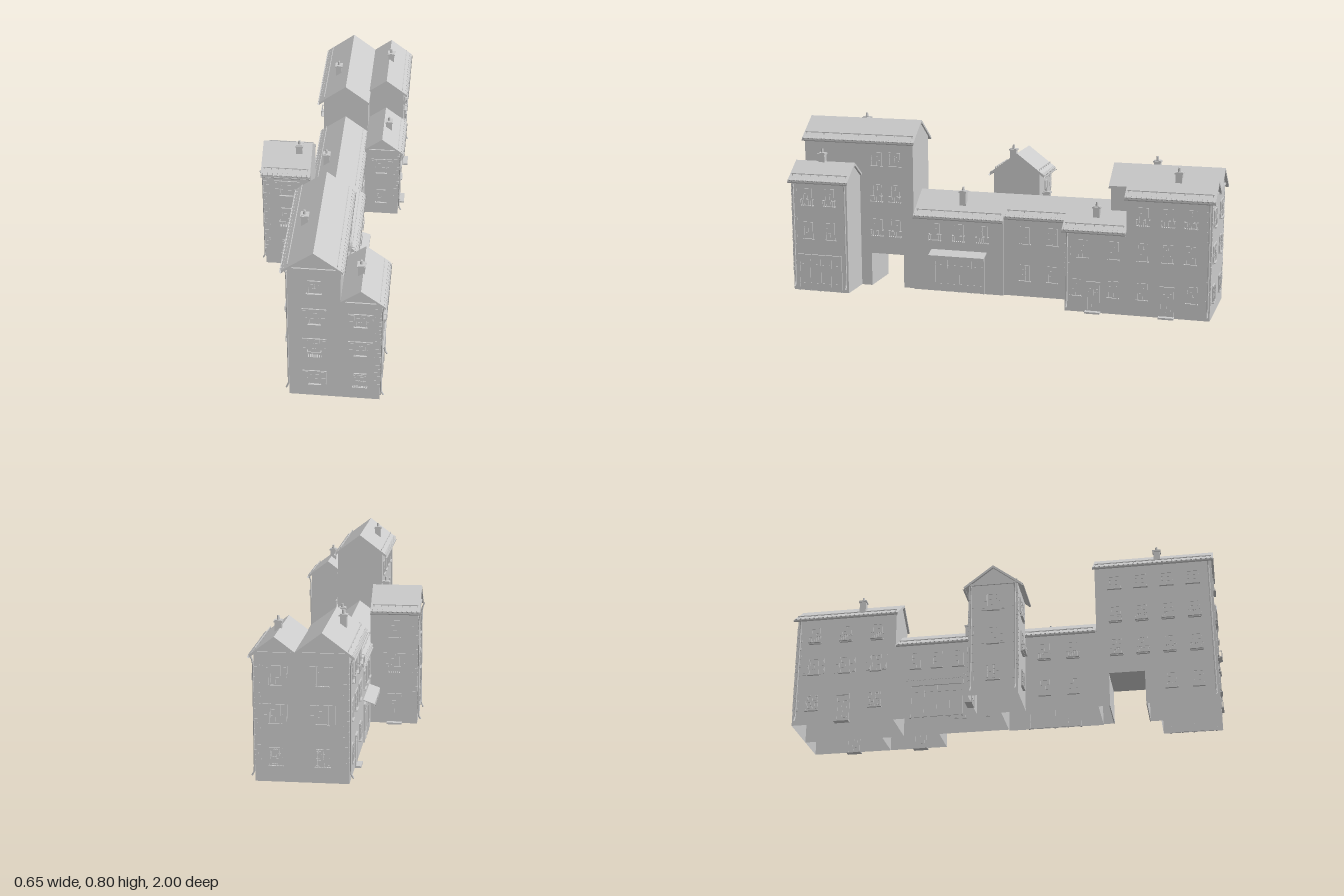
import * as THREE from 'three';
import { mergeGeometries } from 'three/addons/utils/BufferGeometryUtils.js';

const SLOPE = 0.75, THICK = 0.012;
const mat = new THREE.MeshStandardMaterial({ color: 0xcccccc, flatShading: true, side: THREE.DoubleSide });

const boxGeo = (w, h, d, x, y, z) => new THREE.BoxGeometry(w, h, d).translate(x, y, z);
const mesh = (name, geos) => {
  const m = new THREE.Mesh(Array.isArray(geos) ? mergeGeometries(geos) : geos, mat);
  m.name = name;
  return m;
};
const outline = (pts) => new THREE.Shape(pts.map(p => new THREE.Vector2(...p)));

// Walls (open below), gabled roof, eave tiles, gutters and snow rails; ridge runs along z
function house({ name, cx, wall, roof, z, rz, ridge, eaves = [-1, 1], passage, bands = [] }) {
  const g = new THREE.Group();
  g.name = name;
  const [wl, wr] = wall, [ol, or] = roof, [z0, z1] = z;
  const top = d => ridge - THICK - SLOPE * d;
  for (const [x, d] of [[-wl, wl], [wr, wr]]) {
    const pts = [[z0, 0], [z0, top(d)], [z1, top(d)], [z1, 0]];
    if (passage) pts.push([passage[1], 0], [passage[1], passage[2]], [passage[0], passage[2]], [passage[0], 0]);
    g.add(mesh('sideWall', new THREE.ShapeGeometry(outline(pts)).rotateY(-Math.PI / 2).translate(x, 0, 0)));
  }
  const gable = outline([[-wl, 0], [wr, 0], [wr, top(wr)], [0, top(0)], [-wl, top(wl)]]);
  for (const zz of z) g.add(mesh('gableWall', new THREE.ShapeGeometry(gable).translate(0, 0, zz)));
  for (const zz of bands)
    g.add(mesh('gableBand', boxGeo(wl + wr, 0.01, 0.008, (wr - wl) / 2, top(Math.max(wl, wr)) + 0.005, zz)));
  if (passage) {
    const [a, b, h] = passage, mid = (wr - wl) / 2, w = wl + wr;
    g.add(mesh('passage', [boxGeo(w, h, 0.004, mid, h / 2, a), boxGeo(w, h, 0.004, mid, h / 2, b),
      boxGeo(w, 0.004, b - a, mid, h, (a + b) / 2)]));
  }
  const el = ridge - SLOPE * ol, er = ridge - SLOPE * or;
  const section = outline([[-ol, el], [-ol, el - THICK], [0, ridge - THICK], [or, er - THICK], [or, er], [0, ridge]]);
  g.add(mesh('roof', new THREE.ExtrudeGeometry(section, { depth: rz[1] - rz[0], bevelEnabled: false }).translate(0, 0, rz[0])));
  const len = rz[1] - rz[0], zc = (rz[0] + rz[1]) / 2, tilt = Math.atan(SLOPE);
  for (const s of eaves) {
    const o = s < 0 ? ol : or, e = ridge - SLOPE * o, tiles = [], rail = [];
    const n = Math.round(len / 0.022);
    for (let i = 0; i < n; i++)
      tiles.push(new THREE.CylinderGeometry(0.005, 0.005, 0.014, 6).rotateZ(s * (Math.PI / 2 - tilt))
        .translate(s * (o - 0.004), e + 0.001, rz[0] + (i + 0.5) * len / n));
    g.add(mesh('eaveTiles', tiles));
    g.add(mesh('gutter', new THREE.CylinderGeometry(0.006, 0.006, len, 8, 1, true, -Math.PI / 2, Math.PI)
      .rotateX(Math.PI / 2).translate(s * (o + 0.002), e - 0.008, zc)));
    const d = o - 0.024, y = ridge - SLOPE * d;
    rail.push(boxGeo(0.003, 0.004, len - 0.02, s * d, y + 0.008, zc));
    for (let i = 0; i <= 6; i++) rail.push(boxGeo(0.003, 0.012, 0.003, s * d, y + 0.002, rz[0] + 0.015 + i * (len - 0.03) / 6));
    g.add(mesh('snowRail', rail));
  }
  g.position.x = cx;
  return g;
}

// Wall fittings: local x along the wall, local z outward, origin at the sill
function windowPart({ w = 0.046, h = 0.08, shutters, rail, bars }) {
  const g = new THREE.Group();
  g.name = 'window';
  const f = 0.005, m = h / 2;
  const frame = [boxGeo(w, h, 0.004, 0, m, 0), boxGeo(w + 0.01, 0.005, 0.014, 0, -0.002, 0.004),
    boxGeo(w, f, 0.01, 0, h - f / 2, 0), boxGeo(f * 0.8, h, 0.007, 0, m, 0), boxGeo(w, 0.003, 0.007, 0, h * 0.36, 0),
    boxGeo(w, 0.003, 0.007, 0, h * 0.68, 0)];
  for (const s of [-1, 1]) frame.push(boxGeo(f, h, 0.01, s * (w - f) / 2, m, 0));
  g.add(mesh('frame', frame));
  if (shutters) {
    const leaves = [];
    for (const s of [-1, 1]) {
      const x = s * (w / 2 + 0.015);
      leaves.push(boxGeo(0.027, h, 0.004, x, m, 0.003));
      for (const y of [0.27, 0.73]) leaves.push(boxGeo(0.019, h * 0.38, 0.002, x, h * y, 0.0055));
    }
    g.add(mesh('shutters', leaves));
  }
  if (rail) {
    const parts = [boxGeo(w + 0.014, 0.003, 0.02, 0, 0, 0.01), boxGeo(w + 0.014, 0.003, 0.003, 0, 0.028, 0.019)];
    for (let i = 0; i < 7; i++) parts.push(boxGeo(0.004, 0.028, 0.003, (i / 6 - 0.5) * (w + 0.01), 0.014, 0.019));
    for (const s of [-1, 1]) parts.push(boxGeo(0.003, 0.003, 0.02, s * (w + 0.011) / 2, 0.028, 0.01));
    g.add(mesh('railing', parts));
  }
  if (bars) {
    const parts = [];
    for (let i = 0; i < 6; i++) parts.push(boxGeo(0.002, h, 0.002, (i / 5 - 0.5) * w, m, 0.008));
    for (const y of [0.1, 0.5, 0.9]) parts.push(boxGeo(w + 0.004, 0.002, 0.002, 0, h * y, 0.008));
    g.add(mesh('bars', parts));
  }
  return g;
}

function doorPart() {
  const parts = [boxGeo(0.05, 0.135, 0.004, 0, 0.0675, 0), boxGeo(0.064, 0.007, 0.012, 0, 0.139, 0.002),
    boxGeo(0.07, 0.008, 0.03, 0, 0.004, 0.012), boxGeo(0.046, 0.003, 0.008, 0, 0.108, 0), boxGeo(0.003, 0.1, 0.007, 0, 0.058, 0)];
  for (const s of [-1, 1]) parts.push(boxGeo(0.006, 0.14, 0.01, s * 0.028, 0.07, 0), boxGeo(0.015, 0.07, 0.007, s * 0.012, 0.06, 0));
  return mesh('door', parts);
}

function shopPart({ w = 0.24, awning }) {
  const g = new THREE.Group();
  g.name = 'shopfront';
  const parts = [boxGeo(w, 0.15, 0.004, 0, 0.08, 0), boxGeo(w + 0.01, 0.02, 0.012, 0, 0.165, 0.002),
    boxGeo(w, 0.035, 0.008, 0, 0.02, 0), boxGeo(w, 0.004, 0.008, 0, 0.125, 0)];
  for (let i = 0; i <= 4; i++) parts.push(boxGeo(0.007, 0.16, 0.011, (i / 4 - 0.5) * w, 0.08, 0));
  g.add(mesh('shopFrame', parts));
  if (awning) {
    const cloth = outline([[0, 0.2], [0.05, 0.182], [0.05, 0.17], [0.048, 0.17], [0.048, 0.179], [0, 0.196]]);
    const c = [new THREE.ExtrudeGeometry(cloth, { depth: w + 0.03, bevelEnabled: false }).rotateY(-Math.PI / 2)
      .translate((w + 0.03) / 2, 0, 0).toNonIndexed()];
    for (let i = 0; i < 18; i++) c.push(new THREE.CylinderGeometry(0.007, 0.007, 0.002, 8).rotateX(Math.PI / 2)
      .translate(((i + 0.5) / 18 - 0.5) * (w + 0.03), 0.17, 0.049).toNonIndexed());
    g.add(mesh('awning', c));
  }
  return g;
}

export function createModel() {
  const model = new THREE.Group();
  model.name = 'rowOfTownHouses';

  // Houses
  const frontWall = [-0.98, 0.985];
  model.add(
    house({ name: 'frontTower', cx: 0.02, wall: [0.108, 0.11], roof: [0.13, 0.12], z: [0.44, 0.98], rz: [0.432, 0.99], ridge: 0.788, passage: [0.49, 0.655, 0.16], bands: [0.982] }),
    house({ name: 'frontWing', cx: 0.213, wall: [0.083, 0.085], roof: [0.083, 0.102], z: [0.705, 0.98], rz: [0.695, 0.99], ridge: 0.605, eaves: [1], bands: [0.982] }),
    house({ name: 'middleFront', cx: 0.02, wall: [0.108, 0.12], roof: [0.116, 0.135], z: [0, 0.44], rz: [0, 0.435], ridge: 0.46 }),
    house({ name: 'middleBack', cx: 0.02, wall: [0.108, 0.106], roof: [0.116, 0.113], z: [-0.5, 0], rz: [-0.495, 0], ridge: 0.46 }),
    house({ name: 'backTower', cx: 0.02, wall: [0.108, 0.11], roof: [0.13, 0.115], z: [-0.98, -0.5], rz: [-0.995, -0.49], ridge: 0.632, eaves: [-1], bands: [-0.982] }),
    house({ name: 'backWing', cx: 0.213, wall: [0.083, 0.085], roof: [0.083, 0.102], z: [-0.98, -0.605], rz: [-0.995, -0.597], ridge: 0.612, eaves: [1], bands: [-0.982] }),
    house({ name: 'lowWing', cx: 0.213, wall: [0.083, 0.085], roof: [0.083, 0.102], z: [-0.605, -0.33], rz: [-0.605, -0.318], ridge: 0.452, eaves: [1], bands: [-0.328] }));
  const side = house({ name: 'sideHouse', cx: 0, wall: [0.112, 0.112], roof: [0.132, 0.132], z: [-0.305, -0.088], rz: [-0.315, -0.088], ridge: 0.632, bands: [-0.307] });
  side.rotation.y = Math.PI / 2;
  model.add(side);

  // Fittings are set on a wall by its facing, plane, place along it and height
  const turn = { zp: 0, xp: Math.PI / 2, zn: Math.PI, xn: -Math.PI / 2 };
  const put = (part, face, plane, u, y = 0) => {
    part.rotation.y = turn[face];
    if (face[0] === 'x') part.position.set(plane, y, u); else part.position.set(u, y, plane);
    model.add(part);
  };
  const S = { shutters: true }, R = { rail: true }, B = { bars: true, h: 0.075, w: 0.055 }, P = {};
  const G = { h: 0.075 }, T = { w: 0.055, h: 0.065 }, RS = { rail: true, shutters: true, h: 0.09 };
  const wins = (face, plane, us, rows) => us.forEach(u => rows.forEach(([y, o]) => put(windowPart(o), face, plane, u, y)));

  // Front-facing windows
  wins('zp', 0.98, [0.021], [[0.575, T], [0.41, S], [0.237, RS], [0.07, { ...S, h: 0.075 }]]);
  wins('zp', 0.98, [0.213], [[0.41, { ...S, h: 0.066 }], [0.25, { ...S, h: 0.075 }], [0.07, B]]);
  wins('zp', 0.112, [-0.197], [[0.41, { ...S, w: 0.06 }], [0.237, { rail: true, w: 0.06, h: 0.098 }], [0.07, B]]);
  wins('zp', -0.33, [0.213], [[0.25, S], [0.07, G]]);
  // Windows on the long +x side
  wins('xp', 0.298, [0.79, 0.9], [[0.41, R], [0.25, P]]);
  wins('xp', 0.13, [0.53, 0.62], [[0.58, T], [0.41, R], [0.245, R]]);
  wins('xp', 0.14, [0.1, 0.215, 0.33], [[0.245, R]]);
  wins('xp', 0.126, [-0.1, -0.23], [[0.25, P], [0.075, G]]);
  wins('xp', 0.298, [-0.41, -0.55], [[0.25, P]]);
  wins('xp', 0.298, [-0.38, -0.55], [[0.075, G]]);
  wins('xp', 0.298, [-0.68, -0.79, -0.89], [[0.41, R], [0.25, P]]);
  wins('xp', 0.298, [-0.68, -0.9], [[0.075, G]]);
  // Windows on the -x side
  wins('xn', -0.088, [0.53, 0.65, 0.77, 0.89], [[0.58, T], [0.41, R], [0.245, R]]);
  wins('xn', -0.088, [0.77, 0.89], [[0.07, G]]);
  wins('xn', -0.088, [0.2, 0.33], [[0.245, R], [0.07, G]]);
  wins('xn', -0.088, [-0.2, -0.3, -0.4], [[0.245, P]]);
  wins('xn', -0.088, [-0.59, -0.74, -0.89], [[0.41, R], [0.25, S]]);
  wins('xn', -0.088, [-0.59, -0.89], [[0.07, B]]);
  wins('xn', -0.305, [0], [[0.41, S], [0.245, S], [0.07, B]]);
  // Windows on the rear faces
  wins('zn', -0.98, [0.02, 0.213], [[0.41, S], [0.25, S], [0.07, B]]);
  wins('zn', -0.112, [-0.2], [[0.41, P], [0.245, RS]]);

  // Doors and shops
  put(doorPart(), 'xp', 0.298, -0.46);
  put(doorPart(), 'xp', 0.298, -0.79);
  put(doorPart(), 'xn', -0.088, -0.74);
  put(doorPart(), 'zn', -0.112, -0.2);
  put(shopPart({ w: 0.21 }), 'xp', 0.298, 0.845);
  put(shopPart({ awning: true }), 'xp', 0.14, 0.215);
  put(shopPart({ awning: true }), 'xn', -0.088, -0.3);

  // Chimneys: x, z, top of the stack
  for (const [x, z, top] of [[-0.042, 0.73, 0.785], [0.205, 0.86, 0.645], [0.08, 0.21, 0.475], [-0.146, 0.03, 0.645],
    [-0.04, -0.16, 0.468], [0.238, -0.46, 0.473], [0.222, -0.82, 0.643], [-0.03, -0.68, 0.643]]) {
    const pot = new THREE.CylinderGeometry(0.005, 0.007, 0.02, 8).translate(x, top + 0.008, z);
    model.add(mesh('chimney', [boxGeo(0.028, 0.07, 0.03, x, top - 0.035, z), boxGeo(0.036, 0.007, 0.038, x, top - 0.006, z), pot]));
  }

  // Corner stones: x, z, signs pointing out of the corner, height
  for (const [x, z, sx, sz, h] of [[0.298, 0.98, 1, 1, 0.52], [0.298, -0.98, 1, -1, 0.52], [-0.088, -0.98, -1, -1, 0.53],
    [-0.305, 0.112, -1, 1, 0.52], [-0.305, -0.112, -1, -1, 0.52], [0.298, -0.33, 1, 1, 0.36]]) {
    const stones = [];
    for (let y = 0.08, i = 0; y < h - 0.01; y += 0.022, i++) {
      const a = i % 2 ? 0.026 : 0.014, b = i % 2 ? 0.014 : 0.026;
      stones.push(boxGeo(a, 0.018, b, x + sx * (0.0015 - a / 2), y, z + sz * (0.0015 - b / 2)));
    }
    model.add(mesh('cornerStones', stones));
  }

  // Downpipes with a kicked-out foot: x, z, outward sign, eave height
  for (const [x, z, s, y] of [[0.298, 0.715, 1, 0.525], [0.298, 0.97, 1, 0.525], [0.298, -0.34, 1, 0.37], [0.298, -0.97, 1, 0.53],
    [-0.088, 0.965, -1, 0.69], [-0.088, -0.965, -1, 0.53], [-0.305, 0.1, -1, 0.53], [-0.305, -0.1, -1, 0.53]]) {
    const p = [[0.016, y], [0.005, y - 0.03], [0.005, 0.05], [0.007, 0.035], [0.016, 0.02]].map(([d, h]) => new THREE.Vector3(x + s * d, h, z));
    const path = new THREE.CurvePath();
    for (let i = 1; i < p.length; i++) path.add(new THREE.LineCurve3(p[i - 1], p[i]));
    model.add(mesh('downpipe', new THREE.TubeGeometry(path, 24, 0.004, 6)));
  }
  return model;
}
